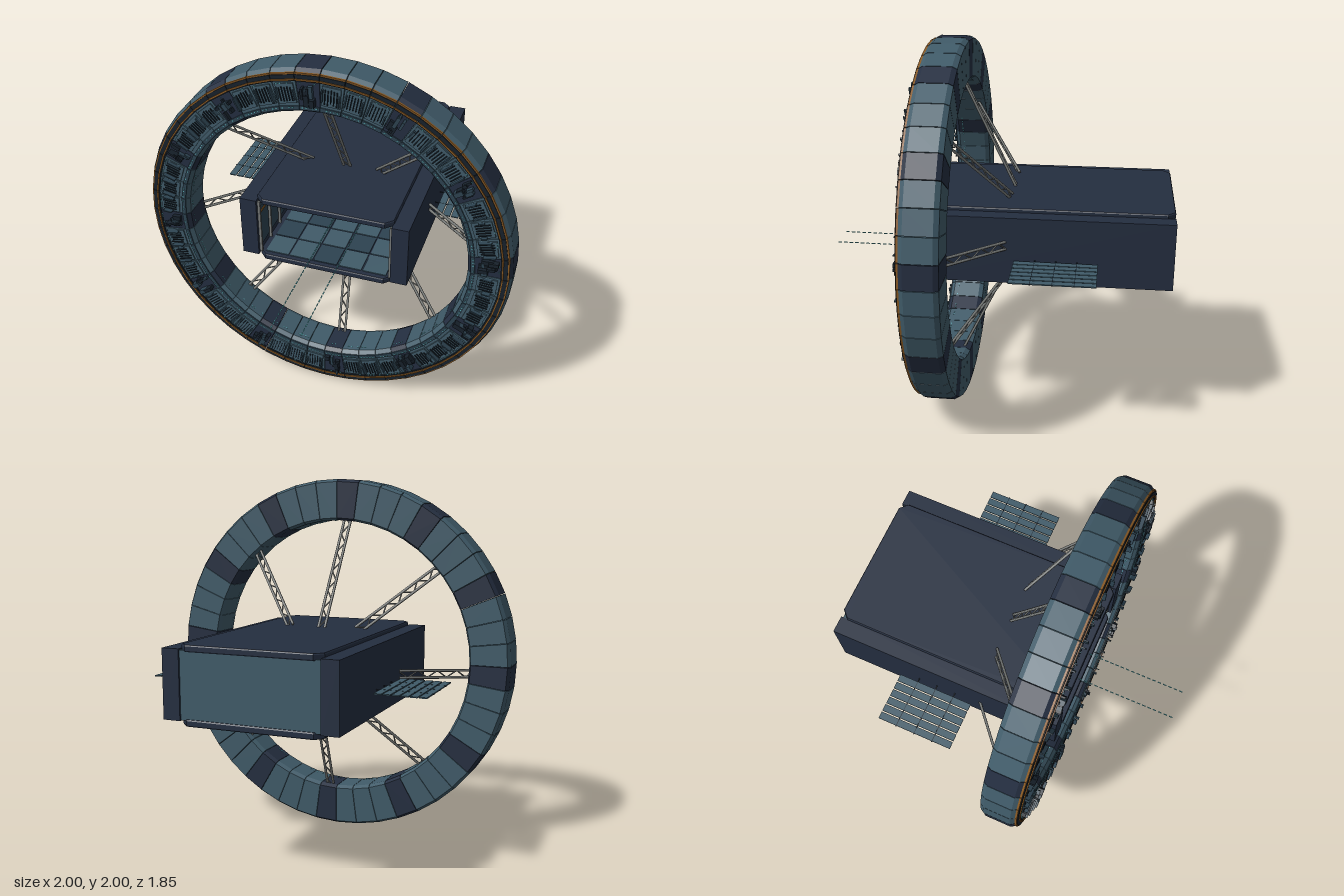
import * as THREE from 'three';
import { mergeGeometries } from 'three/addons/utils/BufferGeometryUtils.js';
import { ConvexGeometry } from 'three/addons/geometries/ConvexGeometry.js';

const colours = {
  tealPlate: 0x405b69, navyHull: 0x242e40, darkTrim: 0x17212b, deepTeal: 0x2d4351,
  trussGrey: 0x777a78, bronze: 0x8a5a24, lampCyan: 0x62bcc4,
};

export function createModel() {
  const model = new THREE.Group();
  const mats = {};
  for (const [name, color] of Object.entries(colours)) {
    mats[name] = new THREE.MeshStandardMaterial({ color });
    mats[name].name = name;
  }

  // Geometry is gathered by part name and merged into one mesh per part
  const parts = new Map();
  const add = (name, mat, geo, matrix) => {
    const g = geo.index ? geo.toNonIndexed() : geo;
    g.deleteAttribute('uv');
    if (matrix) g.applyMatrix4(matrix);
    if (!parts.has(name)) parts.set(name, { mat, list: [] });
    parts.get(name).list.push(g);
  };
  const box = (name, mat, w, h, d, x, y, z, matrix) =>
    add(name, mat, new THREE.BoxGeometry(w, h, d).translate(x, y, z), matrix);
  const beam = (name, mat, a, b, r) => {
    const dir = b.clone().sub(a);
    const q = new THREE.Quaternion().setFromUnitVectors(new THREE.Vector3(0, 1, 0), dir.clone().normalize());
    const m = new THREE.Matrix4().compose(a.clone().add(b).multiplyScalar(0.5), q, new THREE.Vector3(1, 1, 1));
    add(name, mat, new THREE.CylinderGeometry(r, r, dir.length(), 6), m);
  };
  let seed = 7;
  const rand = () => (seed = (seed * 16807) % 2147483647) / 2147483647;

  // Slice of the ring: a convex radius/depth profile swept between two angles
  const slice = (name, mat, profile, a0, a1) => {
    const pts = [];
    for (const a of [a0, a1])
      for (const [r, z] of profile) pts.push(new THREE.Vector3(r * Math.cos(a), 1 + r * Math.sin(a), z));
    add(name, mat, new ConvexGeometry(pts));
  };
  const rect = (r0, r1, z0, z1) => [[r0, z0], [r1, z0], [r1, z1], [r0, z1]];

  // Habitat ring: 48 slices, every fourth one dark
  const N = 48, step = (Math.PI * 2) / N, gap = 0.0016;
  const body = [[0.985, 0.17], [1, 0.195], [1, 0.34], [0.98, 0.37],
    [0.79, 0.37], [0.772, 0.35], [0.772, 0.195], [0.785, 0.17]];
  for (let i = 0; i < N; i++) {
    const a0 = i * step + gap, a1 = (i + 1) * step - gap, dark = i % 4 === 0;
    slice(dark ? 'ringDarkSections' : 'ringSections', dark ? 'navyHull' : 'tealPlate', body, a0, a1);
    slice('ringOuterTrim', 'darkTrim', rect(0.943, 0.978, 0.368, 0.376), a0, a1);
    slice('ringInnerTrim', 'deepTeal', rect(0.79, 0.812, 0.368, 0.376), a0, a1);
    for (const [r, z] of [[0.953, 0.382], [0.982, 0.372]])
      slice('ringConduits', 'bronze', rect(r - 0.004, r + 0.004, z - 0.012, z), a0, a1);

    // Front-face equipment in a frame with x outward and y along the ring
    const m = new THREE.Matrix4().makeRotationZ((i + 0.5) * step).setPosition(0, 1, 0);
    if (dark) {
      for (let k = 0; k < 9; k++) {
        const w = 0.015 + rand() * 0.05, h = 0.008 + rand() * 0.02, d = 0.015 + rand() * 0.025;
        box(k % 3 ? 'serviceBlocks' : 'servicePanels', k % 3 ? 'darkTrim' : 'deepTeal',
          w, h, d, 0.835 + rand() * 0.08, (rand() - 0.5) * 0.08, 0.368 + d / 2, m);
      }
    } else {
      box('ventPanels', 'tealPlate', 0.105, 0.094, 0.01, 0.879, 0, 0.373, m);
      for (let k = -2; k <= 2; k++) {
        const w = 0.065 + rand() * 0.015;
        box('ventFins', 'darkTrim', w, 0.005, 0.008, 0.875 + rand() * 0.01, k * 0.015, 0.38, m);
      }
      for (const s of [-1, 1]) {
        const d = 0.02 + rand() * 0.018;
        box('ringBrackets', 'deepTeal', 0.03 + rand() * 0.05, 0.007, d, 0.87 + rand() * 0.02, s * 0.043, 0.37 + d / 2, m);
      }
    }
    // Small lit windows around the rim
    for (let k = -2; k <= 2; k++) {
      if (rand() < 0.75) box('rimWindows', 'lampCyan', 0.004, 0.008, 0.004, 0.802, k * 0.018, 0.377, m);
      if (rand() < 0.3) box('rimWindows', 'lampCyan', 0.004, 0.008, 0.004, 0.934, k * 0.018, 0.379, m);
      if (rand() < 0.5) box('rimWindows', 'lampCyan', 0.004, 0.007, 0.005, 0.77, k * 0.018, 0.325, m);
    }
  }

  // Hangar hull: two plates with cut corners, two side walls, a back wall
  const zBack = -0.93, zFront = 0.37, len = zFront - zBack, zMid = (zBack + zFront) / 2;
  const plate = new THREE.Shape();
  const w = 0.375, c = 0.04;
  [[-w + c, zBack], [w - c, zBack], [w, zBack + c], [w, zFront - c],
    [w - c, zFront], [-w + c, zFront], [-w, zFront - c], [-w, zBack + c]]
    .forEach(([x, z], i) => (i ? plate.lineTo(x, -z) : plate.moveTo(x, -z)));
  for (const [name, y] of [['hullRoof', 1.172], ['hullFloor', 0.806]])
    add(name, 'navyHull', new THREE.ExtrudeGeometry(plate, {
      depth: 0.022, bevelEnabled: true, bevelThickness: 0.006, bevelSize: 0.004, bevelOffset: -0.004, bevelSegments: 1,
    }).rotateX(-Math.PI / 2).translate(0, y, 0));
  for (const s of [-1, 1]) {
    box('hullSideWalls', 'navyHull', 0.092, 0.355, len, s * 0.417, 1.002, zMid);
    // Ribs and panels lining the hangar
    for (let k = 0; k < 9; k++) {
      const z = -0.8 + k * 0.135;
      box('hangarWallPanels', 'deepTeal', 0.008, 0.25, 0.1, s * 0.368, 1, z);
      box('hangarRibs', k % 2 ? 'trussGrey' : 'trussGrey', 0.014, 0.33, 0.012, s * 0.364, 1, z + 0.066);
      box('hangarWallStripes', 'bronze', 0.01, 0.012, 0.1, s * 0.365, 1.09, z);
    }
    // Cargo stacks near the back
    box('cargoStacks', 'deepTeal', 0.22, 0.07, 0.2, s * 0.245, 0.869, -0.72);
    box('cargoCrates', 'tealPlate', 0.1, 0.08, 0.12, s * 0.2, 0.944, -0.74);
    box('cargoStraps', 'darkTrim', 0.222, 0.006, 0.202, s * 0.245, 0.9, -0.72);
    // Louvres on the hangar back wall
    for (let k = 0; k < 7; k++)
      box('backWallLouvres', 'darkTrim', 0.1, 0.009, 0.01, s * 0.067, 0.945 + k * 0.021, -0.882);
    box('ceilingLights', 'bronze', 0.008, 0.006, len - 0.12, s * 0.3, 1.163, zMid);
  }
  box('hullBackWall', 'tealPlate', 0.742, 0.345, 0.035, 0, 1, -0.903);

  // Deck tiles
  for (let i = 0; i < 5; i++)
    for (let k = 0; k < 8; k++)
      box((i + k) % 3 ? 'deckTiles' : 'deckTilesDark', (i + k) % 3 ? 'tealPlate' : 'deepTeal',
        0.13, 0.006, 0.14, (i - 2) * 0.138, 0.836, -0.78 + k * 0.15);

  // Approach lights: two dashed lines running out of the hangar
  for (const s of [-1, 1])
    for (let z = -0.5; z < 0.92; z += 0.032)
      box('approachLights', 'lampCyan', 0.005, 0.004, 0.02, s * 0.08, 0.85, z);

  // Solar arrays: six strips a side, four cells each
  for (const s of [-1, 1]) {
    for (let i = 0; i < 6; i++)
      for (let k = 0; k < 4; k++)
        box('solarCells', 'tealPlate', 0.039, 0.006, 0.104, s * (0.505 + i * 0.0462), 0.955, -0.496 + k * 0.1075);
    for (let k = 0; k < 3; k++)
      box('solarSpars', 'darkTrim', 0.3, 0.004, 0.006, s * 0.61, 0.955, -0.4425 + k * 0.1075);
  }

  // Lattice struts from the hull to the back of the ring
  for (let i = 0; i < 8; i++) {
    const a = THREE.MathUtils.degToRad(3.75 + 45 * i), cx = Math.cos(a), sy = Math.sin(a);
    const t = Math.min(0.455 / Math.abs(cx), 0.195 / Math.abs(sy));
    const start = new THREE.Vector3(t * cx, 1 + t * sy, -0.08);
    const end = new THREE.Vector3(0.8 * cx, 1 + 0.8 * sy, 0.22);
    const side = new THREE.Vector3(-sy, cx, 0).multiplyScalar(0.019);
    const at = (f, s) => start.clone().lerp(end, f).addScaledVector(side, s);
    for (const s of [-1, 1]) beam('strutChords', 'trussGrey', at(0, s), at(1, s), 0.0075);
    const bays = Math.round(start.distanceTo(end) / 0.055);
    for (let k = 0; k < bays; k++) {
      const s = k % 2 ? 1 : -1;
      beam('strutBraces', 'trussGrey', at(k / bays, s), at((k + 1) / bays, -s), 0.004);
    }
  }

  for (const [name, { mat, list }] of parts) {
    const mesh = new THREE.Mesh(mergeGeometries(list), mats[mat]);
    mesh.name = name;
    model.add(mesh);
  }
  return model;
}
